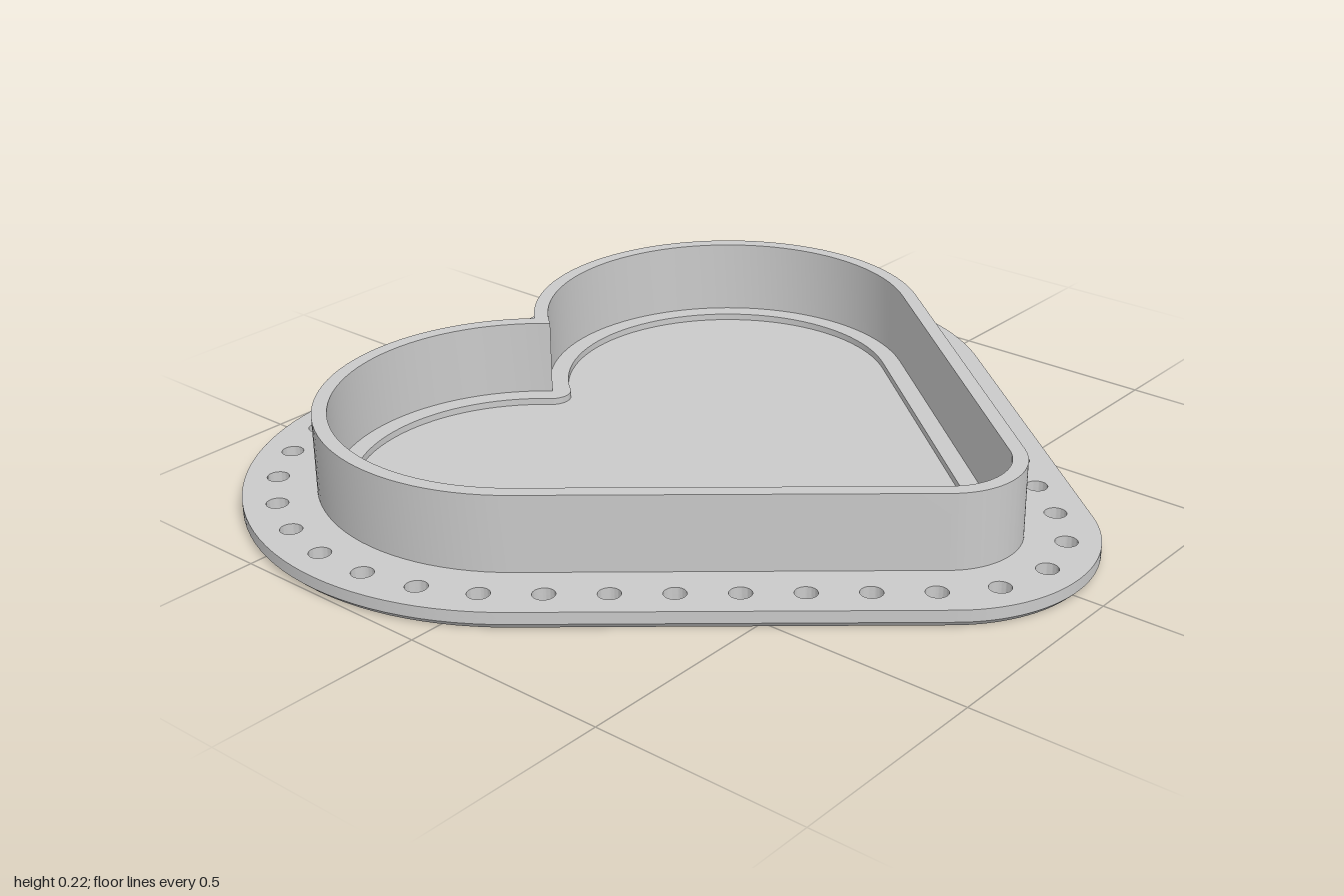
import * as THREE from 'three';
import { toCreasedNormals } from 'three/addons/utils/BufferGeometryUtils.js';

// Heart skeleton: two lobe centres and a tip centre, offset by a radius
const LOBE_X = 0.355, LOBE_Y = 0.295, TIP_Y = -0.593, TIP_LESS = 0.3;
const HOLE_RADIUS = 0.025;

// Heart outline, clockwise: lobe radius r, notch fillet radius f (0 = sharp notch)
function heart(r, f = 0) {
  const dy = LOBE_Y - TIP_Y;
  const a = Math.acos(-TIP_LESS / Math.hypot(LOBE_X, dy)) - Math.atan2(dy, LOBE_X);
  const h = Math.sqrt((r + f) ** 2 - LOBE_X ** 2);
  const b = Math.atan2(h, LOBE_X);
  const s = new THREE.Shape();
  s.absarc(LOBE_X, LOBE_Y, r, Math.PI - b, -a, true);
  s.absarc(0, TIP_Y, r - TIP_LESS, -a, a - Math.PI, true);
  s.absarc(-LOBE_X, LOBE_Y, r, Math.PI + a, b, true);
  if (f > 0) s.absarc(0, LOBE_Y + h, f, Math.PI + b, 2 * Math.PI - b, false);
  return s;
}

// The same outline wound the other way, so the walls of the opening face inward
const heartOpening = (r, f) => new THREE.Path(heart(r, f).getPoints(24).reverse());

// Extrude a shape upward from y0 to y1
function slab(shape, y0, y1, steps = 1) {
  const g = new THREE.ExtrudeGeometry(shape, {
    depth: y1 - y0, steps, bevelEnabled: false, curveSegments: 24,
  });
  g.rotateX(-Math.PI / 2);
  g.translate(0, y0, 0);
  return g;
}

export function createModel() {
  const group = new THREE.Group();
  const grey = new THREE.MeshStandardMaterial({ color: 0xcacaca });
  grey.name = 'lightGrey';

  const add = (name, geometry) => {
    const mesh = new THREE.Mesh(toCreasedNormals(geometry, 0.4), grey);
    mesh.name = name;
    group.add(mesh);
  };

  // Evenly spaced stitching holes around the flange
  const holeCentres = heart(0.57).getSpacedPoints(42).slice(0, 42);
  const drilledHeart = () => {
    const shape = heart(0.645, 0.08);
    for (const p of holeCentres) {
      shape.holes.push(new THREE.Path().absarc(p.x, p.y, HOLE_RADIUS, 0, Math.PI * 2, false));
    }
    return shape;
  };
  const onHole = (x, z) =>
    holeCentres.some((p) => Math.hypot(p.x - x, p.y + z) < HOLE_RADIUS + 0.005);

  // Base plate with a small chamfer along its bottom outer edge
  const base = slab(drilledHeart(), 0, 0.024, 2);
  const pos = base.attributes.position;
  for (let i = 0; i < pos.count; i++) {
    const x = pos.getX(i), z = pos.getZ(i);
    if (pos.getY(i) < 0.001 && !onHole(x, z)) pos.setXYZ(i, x * 0.988, 0, z * 0.988);
  }
  add('basePlate', base);

  // Flange layer, open over the recessed floor
  const flange = drilledHeart();
  flange.holes.push(heartOpening(0.4, 0.045));
  add('flange', slab(flange, 0.024, 0.04));

  // Upright wall
  const wall = heart(0.479);
  wall.holes.push(heartOpening(0.445));
  add('wall', slab(wall, 0.04, 0.22));

  return group;
}
